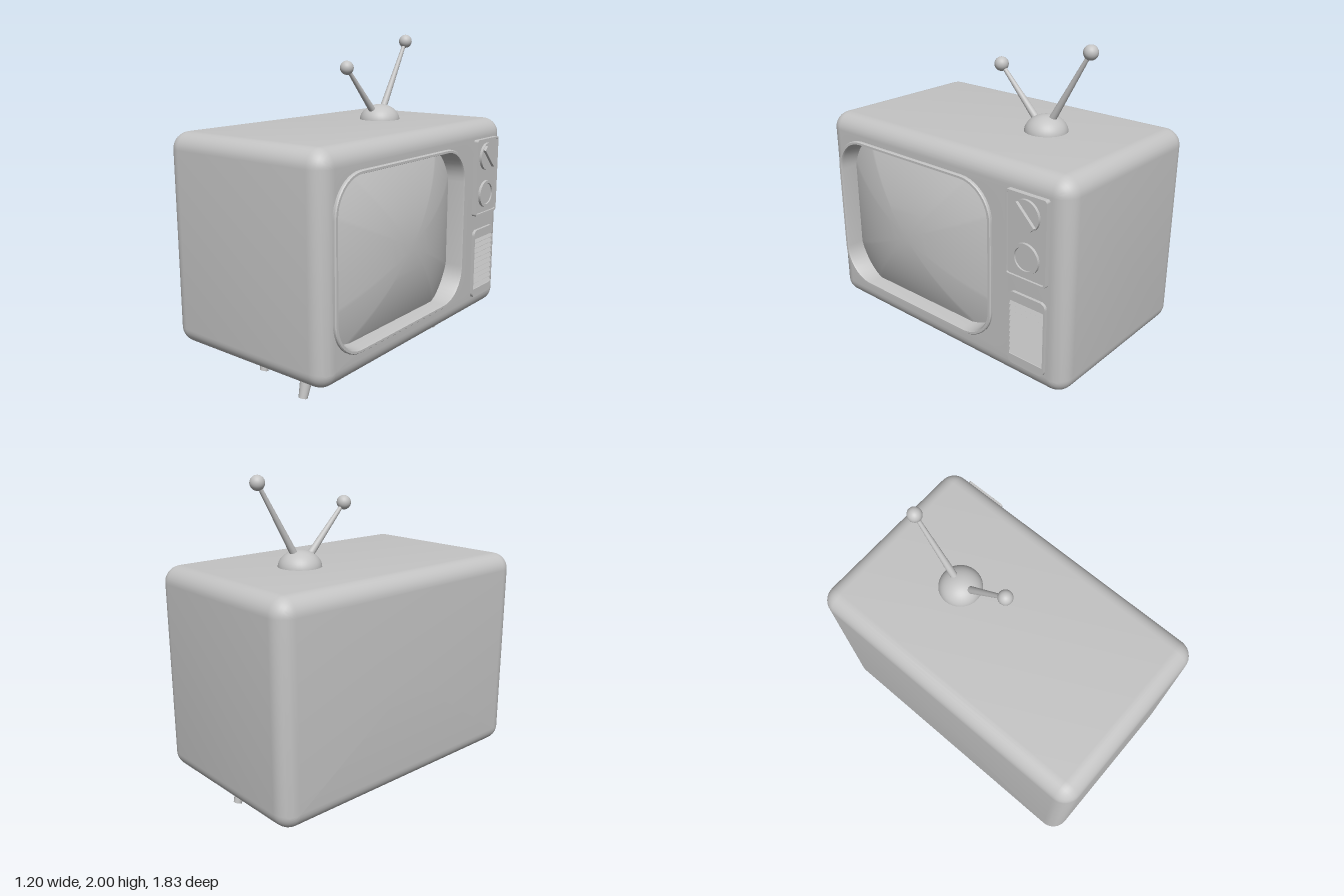
import * as THREE from 'three';
import { toCreasedNormals } from 'three/addons/utils/BufferGeometryUtils.js';

const SEG = 10; // segments per rounded corner

// Rounded rectangle cross-section in the plane x = const
function ring(x, cy, cz, hy, hz, r) {
  const pts = [];
  const corners = [[1, 1], [1, -1], [-1, -1], [-1, 1]]; // signs of y, z
  corners.forEach(([sy, sz], c) => {
    for (let i = 0; i <= SEG; i++) {
      const a = (c + i / SEG) * Math.PI / 2;
      pts.push([x, cy + sy * (hy - r) + r * Math.sin(a), cz + sz * (hz - r) + r * Math.cos(a)]);
    }
  });
  return pts;
}

// Skin a list of matching rings
function loft(rings, crease = 0.6) {
  const n = rings[0].length, index = [];
  for (let i = 0; i < rings.length - 1; i++) {
    for (let j = 0; j < n; j++) {
      const k = (j + 1) % n, a = i * n + j, b = a + n, c = i * n + k, d = c + n;
      index.push(a, b, c, b, d, c);
    }
  }
  const g = new THREE.BufferGeometry();
  g.setAttribute('position', new THREE.Float32BufferAttribute(rings.flat(2), 3));
  g.setIndex(index);
  return toCreasedNormals(g, crease);
}

function roundedPath(path, u, v, hu, hv, r) {
  path.moveTo(u - hu + r, v - hv);
  path.lineTo(u + hu - r, v - hv);
  path.absarc(u + hu - r, v - hv + r, r, -Math.PI / 2, 0);
  path.absarc(u + hu - r, v + hv - r, r, 0, Math.PI / 2);
  path.absarc(u - hu + r, v + hv - r, r, Math.PI / 2, Math.PI);
  path.absarc(u - hu + r, v - hv + r, r, Math.PI, Math.PI * 1.5);
  return path;
}

// Upright plate facing +x from x0 to x1, with an optional rounded hole
function plate(x0, x1, y, z, hy, hz, r, hole) {
  const shape = roundedPath(new THREE.Shape(), -z, y, hz, hy, r);
  if (hole) shape.holes.push(roundedPath(new THREE.Path(), -z, y, hole[1], hole[0], hole[2]));
  const g = new THREE.ExtrudeGeometry(shape, { depth: x1 - x0, bevelEnabled: false, curveSegments: 6 });
  return g.rotateY(Math.PI / 2).translate(x0, 0, 0);
}

export function createModel() {
  const model = new THREE.Group();
  const grey = new THREE.MeshStandardMaterial({ color: 0xc4c4c4 });
  grey.name = 'plain grey';

  const add = (name, geometry, parent = model) => {
    const mesh = new THREE.Mesh(geometry, grey);
    mesh.name = name;
    parent.add(mesh);
    return mesh;
  };
  // Tapered rod between two points
  const rod = (name, from, to, r0, r1) => {
    const a = new THREE.Vector3(...from), b = new THREE.Vector3(...to);
    const mesh = add(name, new THREE.CylinderGeometry(r1, r0, a.distanceTo(b), 20));
    mesh.position.copy(a).lerp(b, 0.5);
    mesh.quaternion.setFromUnitVectors(new THREE.Vector3(0, 1, 0), b.sub(a).normalize());
    return mesh;
  };

  // Cabinet: rounded box with a recess for the screen
  const CY = 0.848, HY = 0.628, HZ = 0.917, R = 0.1, BACK = -0.6, FRONT = 0.548;
  const SY = 0.855, SZ = 0.203;
  const edge = (x, inset) => ring(x, CY, 0, HY - inset, HZ - inset, Math.max(R - inset, 0.004));
  const rings = [ring(BACK, CY, 0, 0, 0, 0)];
  for (let i = 0; i <= 8; i++) {
    const a = i / 8 * Math.PI / 2;
    rings.push(edge(BACK + R * (1 - Math.cos(a)), R * (1 - Math.sin(a))));
  }
  for (let i = 0; i <= 8; i++) {
    const a = i / 8 * Math.PI / 2;
    rings.push(edge(FRONT - R * (1 - Math.sin(a)), R * (1 - Math.cos(a))));
  }
  rings.push(ring(FRONT, SY, SZ, 0.48, 0.62, 0.21));
  rings.push(ring(0.38, SY, SZ, 0.48, 0.62, 0.21));
  add('cabinet', loft(rings));

  // Screen surround
  add('screenFrame', loft([
    ring(0.54, SY, SZ, 0.49, 0.632, 0.22),
    ring(0.56, SY, SZ, 0.49, 0.632, 0.22),
    ring(0.566, SY, SZ, 0.485, 0.627, 0.215),
    ring(0.566, SY, SZ, 0.472, 0.612, 0.2),
    ring(0.555, SY, SZ, 0.468, 0.607, 0.2),
    ring(0.38, SY, SZ, 0.462, 0.6, 0.195),
  ]));

  // Bulging glass
  const glass = [];
  for (let i = 0; i <= 14; i++) {
    const s = 1 - i / 14;
    glass.push(ring(0, SY, SZ, 0.472 * s, 0.61 * s, 0.2 * s).map(([, y, z]) =>
      [0.597 - 0.33 * ((y - SY) ** 2 + (z - SZ) ** 2), y, z]));
  }
  add('screenGlass', loft(glass, 1));

  // Control panel with two dials
  const KZ = -0.674;
  add('controlPanel', plate(0.53, 0.564, 1.122, KZ, 0.235, 0.125, 0.012));
  add('controlPanelRim', plate(0.53, 0.577, 1.122, KZ, 0.243, 0.133, 0.015, [0.232, 0.122, 0.008]));
  const disc = (name, y, r, x0, x1) => {
    const g = new THREE.CylinderGeometry(r, r, x1 - x0, 40).rotateZ(-Math.PI / 2);
    add(name, g).position.set((x0 + x1) / 2, y, KZ);
  };
  disc('channelDial', 1.25, 0.087, 0.55, 0.58);
  const grip = add('channelGrip', new THREE.BoxGeometry(0.03, 0.165, 0.036));
  grip.position.set(0.583, 1.25, KZ);
  grip.rotation.x = Math.PI / 4;
  disc('volumeDial', 1.008, 0.066, 0.55, 0.572);
  const ringShape = new THREE.Shape().absarc(0, 0, 0.087, 0, Math.PI * 2);
  ringShape.holes.push(new THREE.Path().absarc(0, 0, 0.068, 0, Math.PI * 2, true));
  const dialRing = new THREE.ExtrudeGeometry(ringShape, { depth: 0.03, bevelEnabled: false, curveSegments: 24 });
  add('volumeDialRing', dialRing.rotateY(Math.PI / 2)).position.set(0.55, 1.008, KZ);

  // Speaker grille
  const GY = 0.555, GZ = -0.679;
  add('speakerFrame', plate(0.53, 0.566, GY, GZ, 0.226, 0.124, 0.035, [0.17, 0.114, 0.004]));
  for (let i = 0; i < 10; i++) {
    const slat = add('speakerSlat', new THREE.BoxGeometry(0.012, 0.027, 0.23));
    slat.position.set(0.556, GY - 0.153 + i * 0.034, GZ);
    slat.rotation.z = 0.45;
  }

  // Aerial
  const AX = -0.028, AZ = -0.333;
  const dome = add('aerialBase', new THREE.SphereGeometry(0.128, 32, 12, 0, Math.PI * 2, 0, Math.PI / 2));
  dome.scale.y = 0.8;
  dome.position.set(AX, 1.468, AZ);
  [[1.81, 0.003, -0.29, 1.5], [1.96, -0.612, -0.35, 1.51]].forEach(([y, z, z0, y0]) => {
    rod('aerialRod', [AX, y0, z0], [AX, y, z], 0.023, 0.011);
    add('aerialTip', new THREE.SphereGeometry(0.042, 24, 16)).position.set(AX, y, z);
  });

  // Splayed tapered legs
  [[0.19, 0.607, 0.677], [-0.232, 0.494, 0.562]].forEach(([x, top, foot]) => {
    for (const s of [1, -1]) {
      rod('leg', [x, 0.007, s * foot - 0.003], [x, 0.235, s * top], 0.026, 0.047);
    }
  });

  return model;
}
